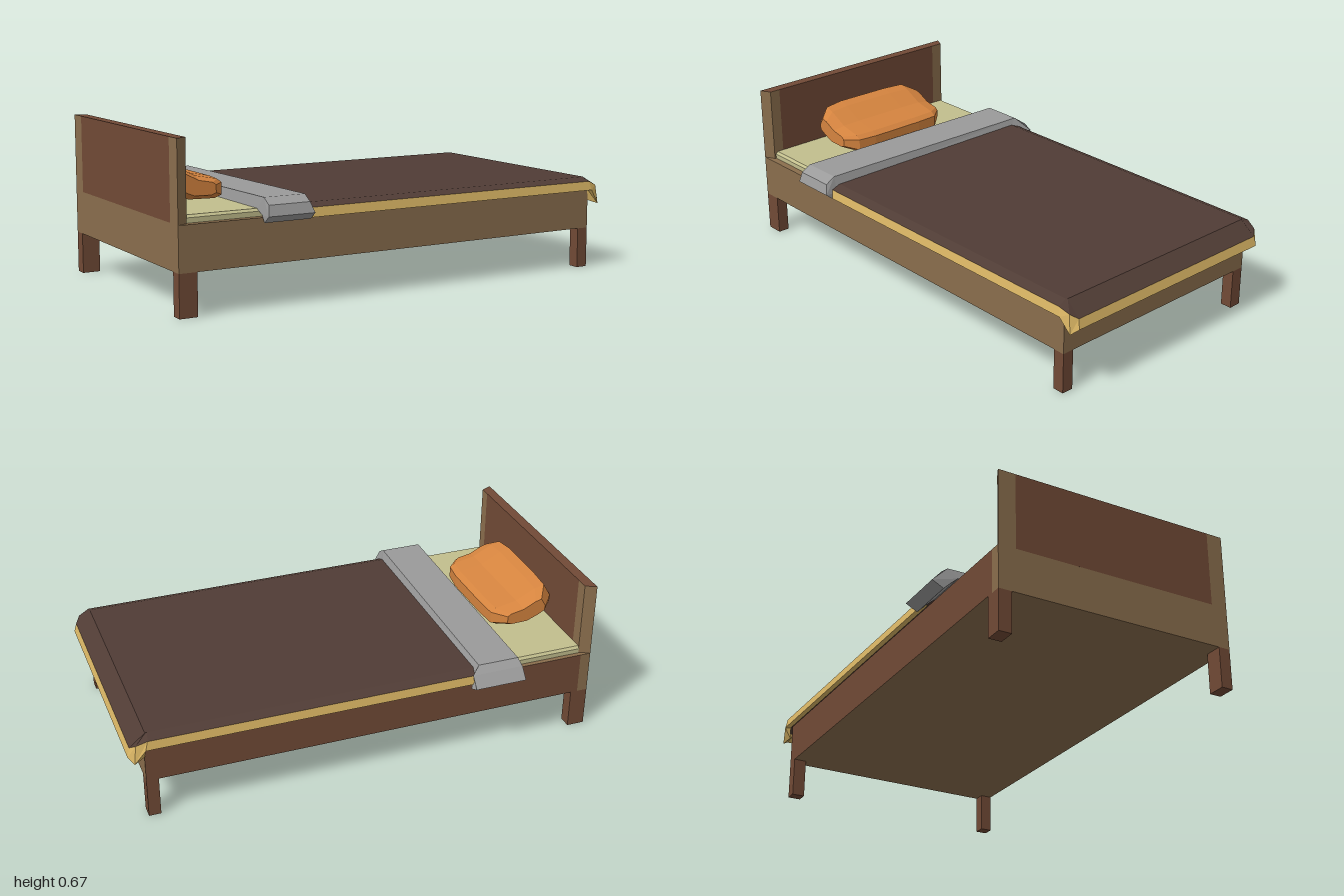
import * as THREE from 'three';

const mat = (name, color) => Object.assign(new THREE.MeshStandardMaterial({ color, flatShading: true }), { name });

export function createModel() {
  const bed = new THREE.Group();
  bed.name = 'bed';
  const tan = mat('tanWood', 0x8a6e4d);
  const red = mat('redWood', 0x714a36);
  const sheet = mat('mattressCloth', 0xc2be8d);
  const dark = mat('blanketBrown', 0x503c35);
  const yellow = mat('blanketLining', 0xdcb765);
  const grey = mat('foldGrey', 0x9a9a9a);
  const orange = mat('pillowOrange', 0xd5843f);
  [dark, yellow].forEach((m) => { m.side = THREE.DoubleSide; });

  const add = (name, geo, material) => {
    const mesh = new THREE.Mesh(geo, material);
    mesh.name = name;
    bed.add(mesh);
    return mesh;
  };
  // Box given by its limits on each axis
  const box = (name, [x0, x1], [y0, y1], [z0, z1], material) =>
    add(name, new THREE.BoxGeometry(x1 - x0, y1 - y0, z1 - z0), material)
      .position.set((x0 + x1) / 2, (y0 + y1) / 2, (z0 + z1) / 2);
  const surface = (points, index) => {
    const g = new THREE.BufferGeometry();
    g.setAttribute('position', new THREE.Float32BufferAttribute(points.flat(), 3));
    g.setIndex(index);
    const flat = g.toNonIndexed();
    flat.computeVertexNormals();
    return flat;
  };
  const shape = (pts) => new THREE.Shape(pts.map(([a, b]) => new THREE.Vector2(a, b)));

  // Legs
  for (const x of [[-1, -0.925], [0.88, 0.93]])
    for (const z of [[0.48, 0.53], [-0.5, -0.445]]) box('leg', x, [0, 0.17], z, red);

  // Frame, with the back rail in the redder wood
  box('frame', [-0.955, 0.93], [0.17, 0.35], [-0.5, 0.53], [tan, tan, tan, tan, tan, red]);
  box('headFrame', [-1, -0.955], [0.17, 0.35], [-0.5, 0.53], tan);

  // Headboard panel between two posts with slanted outer sides
  box('headboardPanel', [-1, -0.955], [0.35, 0.67], [-0.425, 0.46], red);
  const post = (name, pts) => {
    const g = new THREE.ExtrudeGeometry(shape(pts), { depth: 0.32, bevelEnabled: false });
    g.rotateX(-Math.PI / 2);
    add(name, g, [red, tan]).position.y = 0.35;
  };
  post('headboardPostLeft', [[-1, -0.53], [-0.955, -0.507], [-0.955, -0.46], [-1, -0.46]]);
  post('headboardPostRight', [[-1, 0.425], [-0.955, 0.425], [-0.955, 0.477], [-1, 0.5]]);

  // Mattress with a small bevel along its top
  const mattress = new THREE.ExtrudeGeometry(
    shape([[-0.5, 0.34], [0.48, 0.34], [0.48, 0.37], [0.47, 0.38], [-0.49, 0.38], [-0.5, 0.37]]),
    { depth: 1.87, bevelEnabled: false });
  mattress.rotateY(Math.PI / 2);
  add('mattress', mattress, sheet).position.x = -0.955;

  // Blanket: U-shaped rings from the flat top outward and down
  const ring = (xEdge, xFoot, zEdge, ySide, yCorner, yFoot, cut) => {
    const half = (s) => [
      [-0.47, ySide, s * zEdge + 0.01],
      [xEdge, ySide, s * zEdge + 0.01],
      [(xEdge + xFoot) / 2 + cut * 0.3, yCorner, s * (zEdge - cut * 0.3) + 0.01],
      [xFoot, yFoot, s * (zEdge - cut) + 0.01],
    ];
    return [...half(1), ...half(-1).reverse()];
  };
  const rings = [
    ring(0.91, 0.92, 0.5, 0.39, 0.39, 0.39, 0.005),
    ring(0.92, 0.985, 0.54, 0.375, 0.355, 0.335, 0.04),
    ring(0.93, 0.995, 0.546, 0.337, 0.275, 0.295, 0.04),
    ring(0.925, 0.93, 0.521, 0.34, 0.29, 0.3, 0.01),
  ];
  const band = (a, b) => {
    const index = [];
    const n = a.length;
    for (let i = 0; i < n - 1; i++) index.push(i, n + i, i + 1, i + 1, n + i, n + i + 1);
    return surface([...a, ...b], index);
  };
  const fan = [];
  for (let i = 1; i < 7; i++) fan.push(0, i, i + 1);
  add('blanketTop', surface(rings[0], fan), dark);
  add('blanketSlope', band(rings[0], rings[1]), dark);
  add('blanketHem', band(rings[1], rings[2]), yellow);
  add('blanketLining', band(rings[2], rings[3]), yellow);

  // Folded cover draped across the bed
  const fold = new THREE.ExtrudeGeometry(shape([
    [-0.585, 0.36], [-0.55, 0.332], [-0.53, 0.36], [-0.49, 0.378], [0.48, 0.378], [0.51, 0.35],
    [0.54, 0.32], [0.59, 0.345], [0.55, 0.39], [0.52, 0.415], [-0.53, 0.427], [-0.572, 0.402],
  ]), { depth: 0.2, bevelEnabled: false });
  fold.rotateY(Math.PI / 2);
  fold.translate(-0.655, 0, 0);
  const p = fold.attributes.position;
  for (let i = 0; i < p.count; i++) {
    // Narrow the top and skew the back end
    if (p.getY(i) > 0.4) p.setX(i, p.getX(i) + (p.getX(i) < -0.55 ? 0.008 : -0.015));
    else if (p.getZ(i) < -0.54 && p.getX(i) > -0.55) p.setX(i, p.getX(i) + 0.022);
  }
  fold.computeVertexNormals();
  add('foldedCover', fold, grey);

  // Pillow: one leaning profile, scaled along its length
  const profile = [
    [-0.96, 0.485], [-0.925, 0.545], [-0.88, 0.533], [-0.79, 0.487], [-0.69, 0.467], [-0.667, 0.45],
    [-0.667, 0.398], [-0.7, 0.385], [-0.82, 0.388], [-0.9, 0.42], [-0.955, 0.45],
  ];
  const cuts = [[0.287, 0.6], [0.235, 0.93], [0.15, 1], [-0.1, 0.99], [-0.2, 0.95], [-0.26, 0.6]];
  const pts = [];
  const faces = [];
  const n = profile.length;
  for (const [z, s] of cuts)
    for (const [x, y] of profile) pts.push([-0.815 + (x + 0.815) * s, 0.45 + (y - 0.45) * s, z]);
  for (let c = 0; c < cuts.length - 1; c++)
    for (let i = 0; i < n; i++) {
      const a = c * n + i, b = c * n + (i + 1) % n;
      faces.push(a, b, a + n, b, b + n, a + n);
    }
  const caps = THREE.ShapeUtils.triangulateShape(profile.map(([x, y]) => new THREE.Vector2(x, y)), []);
  const last = (cuts.length - 1) * n;
  // Face the end caps outward whichever way they were triangulated
  for (const [a, b, c] of caps) {
    const [A, B, C] = [profile[a], profile[b], profile[c]];
    const ccw = (B[0] - A[0]) * (C[1] - A[1]) - (B[1] - A[1]) * (C[0] - A[0]) > 0;
    const [q, r] = ccw ? [b, c] : [c, b];
    faces.push(a, q, r, last + a, last + r, last + q);
  }
  add('pillow', surface(pts, faces), orange);

  return bed;
}
